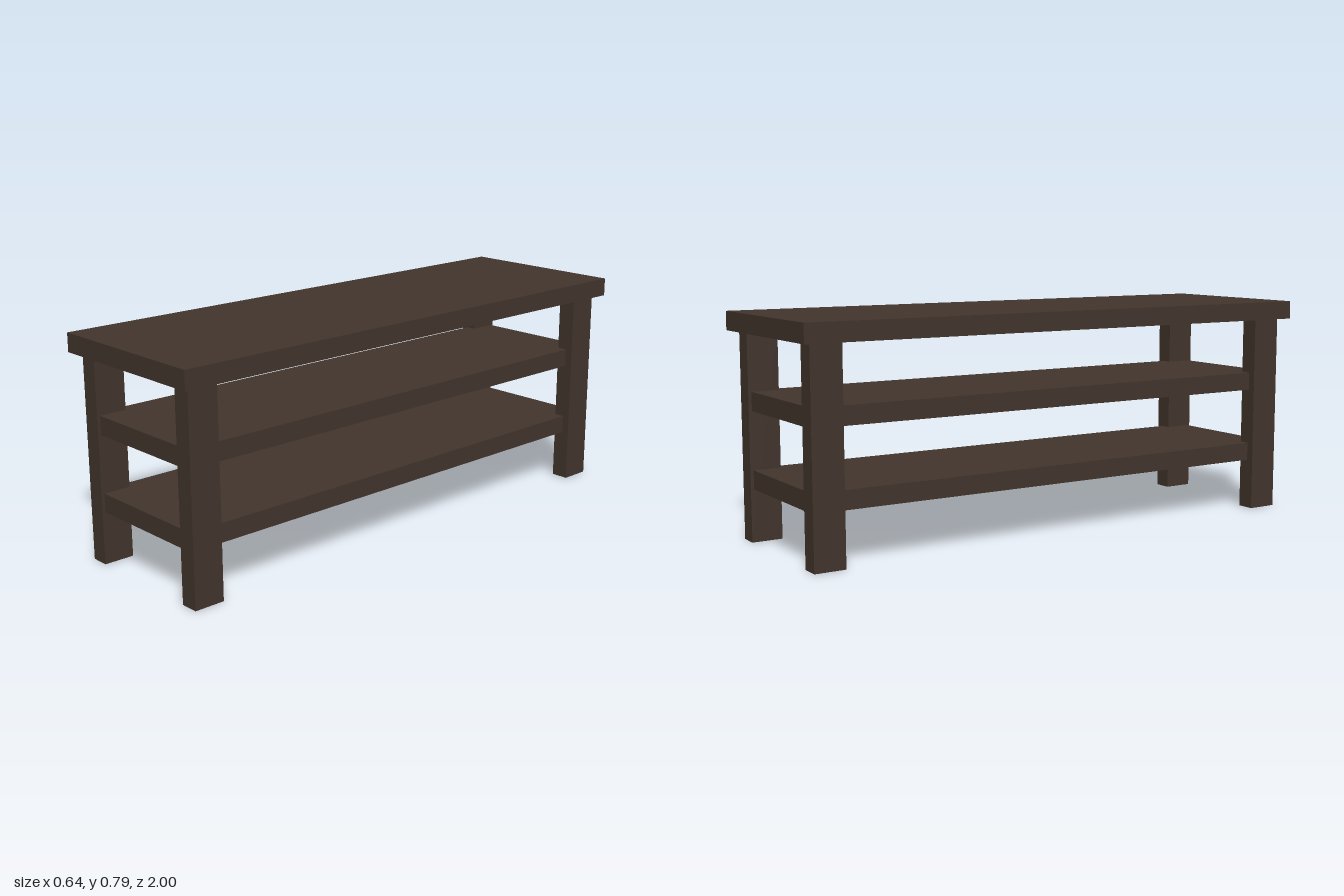
import * as THREE from 'three';

export function createModel() {
  const group = new THREE.Group();
  const wood = new THREE.MeshStandardMaterial({ color: 0x43352d });
  wood.name = 'dark brown wood';

  // Adds a box resting on height y
  function board(name, w, h, d, x, y, z) {
    const mesh = new THREE.Mesh(new THREE.BoxGeometry(w, h, d), wood);
    mesh.name = name;
    mesh.position.set(x, y + h / 2, z);
    group.add(mesh);
  }

  // Table top
  board('tableTop', 0.642, 0.066, 2, 0, 0.726, 0);

  // Two shelves, housed into the legs at each corner
  board('upperShelf', 0.518, 0.066, 1.912, 0, 0.456, 0);
  board('lowerShelf', 0.518, 0.066, 1.912, 0, 0.185, 0);

  // Four legs
  for (const x of [-1, 1]) {
    for (const z of [-1, 1]) {
      const name = (z > 0 ? 'front' : 'back') + (x > 0 ? 'Left' : 'Right') + 'Leg';
      board(name, 0.066, 0.726, 0.111, x * 0.254, 0, z * 0.912);
    }
  }
  return group;
}
